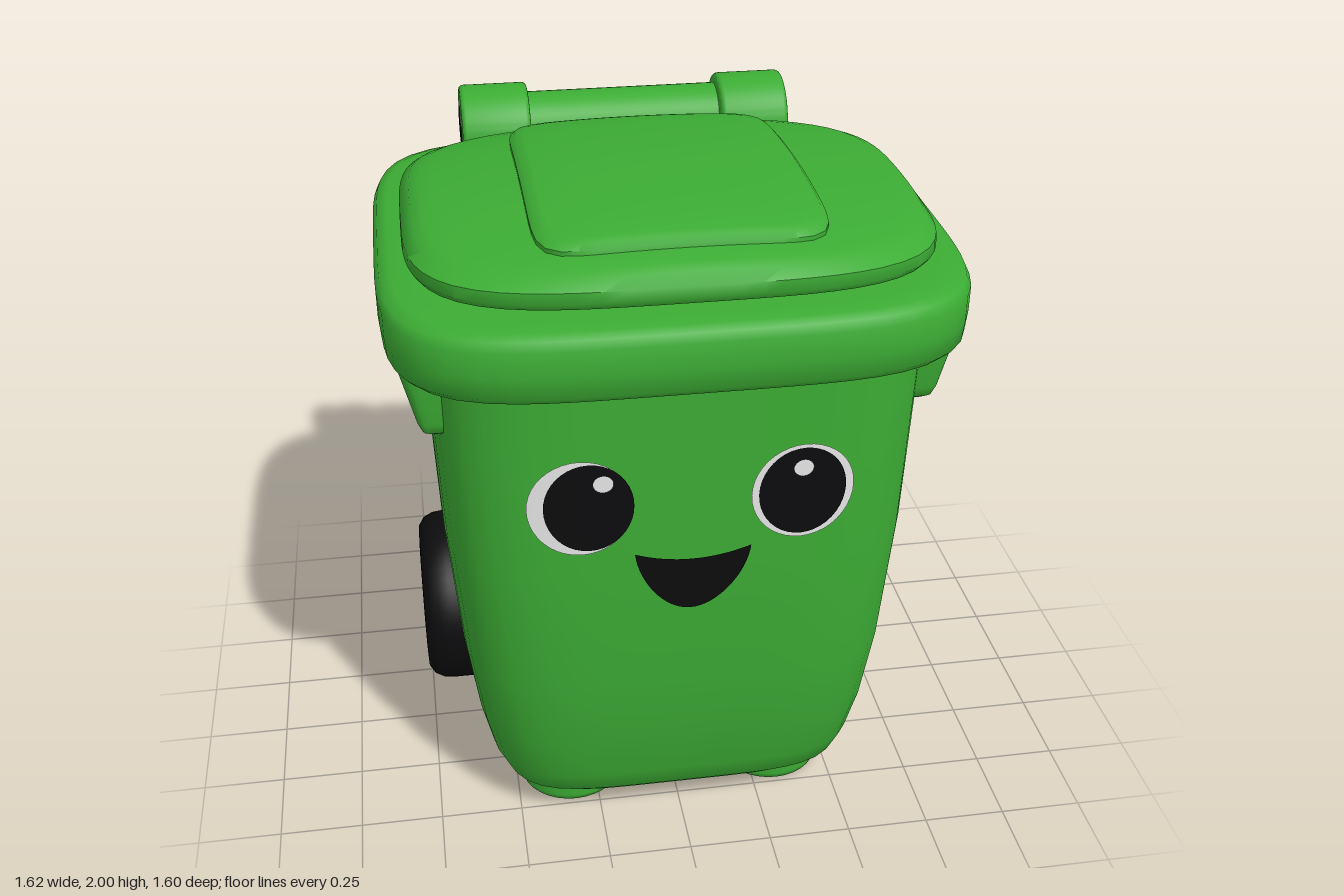
import * as THREE from 'three';
import { toCreasedNormals } from 'three/addons/utils/BufferGeometryUtils.js';

const mat = (name, color, side = THREE.FrontSide) => {
  const m = new THREE.MeshStandardMaterial({ color, side });
  m.name = name;
  return m;
};

// Closed loft through rounded-square rings [y, halfWidth, zBack, zFront, xCentre]; n sets corner squareness.
function loft(rings, n, heightAt = (x, z, y) => y, segs = 80) {
  const pos = [], idx = [];
  const add = (x, y, z) => pos.push(x, heightAt(x, z, y), z);
  for (const [y, a, z0, z1, xc = 0] of rings) {
    for (let j = 0; j < segs; j++) {
      const t = (j / segs) * Math.PI * 2, c = Math.cos(t), s = Math.sin(t);
      const r = (Math.abs(c) ** n + Math.abs(s) ** n) ** (-1 / n);
      add(xc + a * r * c, y, (z0 + z1) / 2 + ((z1 - z0) / 2) * r * s);
    }
  }
  const last = rings.length - 1, bottom = rings.length * segs, top = bottom + 1;
  for (const [y, , z0, z1, xc = 0] of [rings[0], rings[last]]) add(xc, y, (z0 + z1) / 2);
  for (let j = 0; j < segs; j++) {
    const k = (j + 1) % segs;
    for (let i = 0; i < last; i++) {
      const p = i * segs, q = p + segs;
      idx.push(p + j, q + j, p + k, p + k, q + j, q + k);
    }
    idx.push(bottom, j, k, top, last * segs + k, last * segs + j);
  }
  const g = new THREE.BufferGeometry();
  g.setAttribute('position', new THREE.Float32BufferAttribute(pos, 3));
  g.setIndex(idx);
  return toCreasedNormals(g, 0.75);
}

const BODY_N = 5;
const BODY = [
  [0.085, 0.46, -0.40, 0.50], [0.095, 0.51, -0.46, 0.555], [0.13, 0.55, -0.505, 0.59],
  [0.2, 0.58, -0.53, 0.612], [0.35, 0.612, -0.553, 0.645], [0.6, 0.645, -0.57, 0.677],
  [1.0, 0.678, -0.576, 0.69], [1.35, 0.692, -0.572, 0.692], [1.64, 0.705, -0.565, 0.692],
];

// Depth of the body's front wall, so the face follows its curve.
function frontZ(x, y) {
  const i = BODY.findIndex((r) => r[0] > y);
  const A = BODY[i - 1], B = BODY[i], t = (y - A[0]) / (B[0] - A[0]);
  const [, a, z0, z1] = A.map((v, k) => v + (B[k] - v) * t);
  return (z0 + z1) / 2 + ((z1 - z0) / 2) * (1 - Math.abs(x / a) ** BODY_N) ** (1 / BODY_N);
}

const lidTop = (x, z) => 1.968 - 0.045 * (x / 0.73) ** 2 - 0.055 * ((z - 0.17) / 0.6) ** 2;

export function createModel() {
  const root = new THREE.Group();
  root.name = 'wheelieBin';
  const green = mat('binGreen', 0x3cac34);
  const black = mat('rubberBlack', 0x0c0c0e);
  const white = mat('eyeWhite', 0xeeeeee);

  const add = (name, geo, material, x = 0, y = 0, z = 0) => {
    const m = new THREE.Mesh(geo, material);
    m.name = name;
    m.position.set(x, y, z);
    root.add(m);
    return m;
  };

  // Tapered body and overhanging rim
  add('body', loft(BODY, BODY_N), green);
  const rimRing = (y, inset) => [y, 0.81 - inset, -0.69 + inset, 0.8 - inset];
  add('rim', loft([rimRing(1.61, 0.14), rimRing(1.61, 0.022), rimRing(1.63, 0.005), rimRing(1.69, 0),
    rimRing(1.765, 0), rimRing(1.79, 0.012), rimRing(1.802, 0.04), rimRing(1.802, 0.12)], 4.6), green);

  // Domed lid: the side wall keeps its height, the top follows the dome
  const lidRing = (y, inset) => [y, 0.73 - inset, -0.52 + inset, 0.72 - inset];
  const lidHeight = (x, z, y) => (y > 1.9 ? lidTop(x, z) - (2 - y) : y + 0.02 * (z - 0.1));
  add('lid', loft([lidRing(1.795, 0.07), lidRing(1.82, 0.05), lidRing(1.822, 0.012), lidRing(1.84, 0),
    lidRing(1.872, 0.002), lidRing(1.988, 0.03), lidRing(1.997, 0.06), lidRing(2, 0.1),
    lidRing(2, 0.22), lidRing(2, 0.34), lidRing(2, 0.46), lidRing(2, 0.57)], 3.8, lidHeight), green);

  // Raised panel on the lid
  const panelRing = (y, inset) => [y, 0.395 - inset, -0.4 + inset, 0.6 - inset];
  add('lidPanel', loft([panelRing(-0.02, 0), panelRing(0.012, 0), panelRing(0.026, 0.014), panelRing(0.03, 0.04),
    panelRing(0.031, 0.14), panelRing(0.031, 0.25), panelRing(0.031, 0.36)], 9,
  (x, z, y) => lidTop(x, z) + y), green);

  // Hinge: bar, two knuckles and a dark pin
  const alongX = (r, len) => new THREE.CylinderGeometry(r, r, len, 40).rotateZ(Math.PI / 2);
  add('hingeBar', alongX(0.108, 0.64), green, 0, 1.83, -0.677);
  add('hingePin', alongX(0.06, 1.046), black, 0, 1.85, -0.66);
  const knuckle = new THREE.Shape();
  knuckle.moveTo(0.535, 1.7);
  knuckle.absarc(0.658, 1.828, 0.132, Math.PI * 1.08, -Math.PI * 0.14, true);
  knuckle.lineTo(0.705, 1.695);
  knuckle.closePath();
  const knuckleGeo = toCreasedNormals(new THREE.ExtrudeGeometry(knuckle, {
    depth: 0.187, bevelThickness: 0.014, bevelSize: 0.014, bevelSegments: 3, curveSegments: 28,
  }).translate(0, 0, -0.0935).rotateY(Math.PI / 2), 0.6);

  // Wheel profile with a ringed hub on both sides
  const half = [[0.287, 0.03], [0.283, 0.065], [0.268, 0.095], [0.24, 0.113], [0.2, 0.115], [0.15, 0.108],
    [0.14, 0.098], [0.128, 0.098], [0.12, 0.108], [0, 0.11]];
  const profile = [...half.map(([r, h]) => [r, -h]).reverse(), ...half].map(([r, h]) => new THREE.Vector2(r, h));
  const wheelGeo = new THREE.LatheGeometry(profile, 48).rotateZ(-Math.PI / 2);

  const footGeo = new THREE.LatheGeometry([[0, 0], [0.14, 0], [0.158, 0.01], [0.165, 0.03], [0.165, 0.13]]
    .map(([r, h]) => new THREE.Vector2(r, h)), 32);

  for (const side of [1, -1]) {
    const label = side > 0 ? 'left' : 'right';
    add(label + 'HingeKnuckle', knuckleGeo, green, side * 0.412);
    add(label + 'Wheel', wheelGeo, black, side * 0.645, 0.322, -0.25);
    add(label + 'Foot', footGeo, green, side * 0.325, 0, 0.335);
    // Ribs bracing the rim
    for (const [place, z] of [['Front', 0.493], ['Rear', -0.293]]) {
      const rib = (y, outer, w) => [y, (outer - 0.62) / 2, z - w, z + w, (side * (outer + 0.62)) / 2];
      add(label + place + 'Rib', loft([rib(1.4, 0.695, 0.025), rib(1.41, 0.712, 0.038), rib(1.44, 0.725, 0.046),
        rib(1.63, 0.772, 0.062)], 5, undefined, 32), green);
    }
  }

  // Face plates laid on the curved front wall
  const onFront = (name, geo, material, cx, cy, lift) => {
    const p = geo.attributes.position;
    for (let i = 0; i < p.count; i++) {
      const x = p.getX(i) + cx, y = p.getY(i) + cy;
      p.setXYZ(i, x, y, frontZ(x, y) + lift);
    }
    geo.computeVertexNormals();
    add(name, geo, material);
  };
  const oval = (rx, ry) => new THREE.RingGeometry(0.001, 1, 40, 4).scale(rx, ry, 1);
  for (const [label, x, pupilX, shineX] of [['left', 0.31, 0.308, 0.307], ['right', -0.308, -0.285, -0.245]]) {
    onFront(label + 'EyeWhite', oval(0.146, 0.15), white, x, 1.232, 0.004);
    onFront(label + 'Pupil', oval(0.124, 0.138), black, pupilX, 1.234, 0.007);
    onFront(label + 'EyeShine', oval(0.028, 0.026), white, shineX, 1.31, 0.01);
  }
  const mouth = new THREE.Shape();
  mouth.moveTo(-0.16, 1.07);
  mouth.bezierCurveTo(-0.15, 0.98, -0.08, 0.87, 0, 0.87);
  mouth.bezierCurveTo(0.08, 0.87, 0.16, 0.98, 0.168, 1.07);
  mouth.quadraticCurveTo(0, 1.01, -0.16, 1.07);
  onFront('mouth', new THREE.ShapeGeometry(mouth, 16), black, 0, 0, 0.005);

  return root;
}
